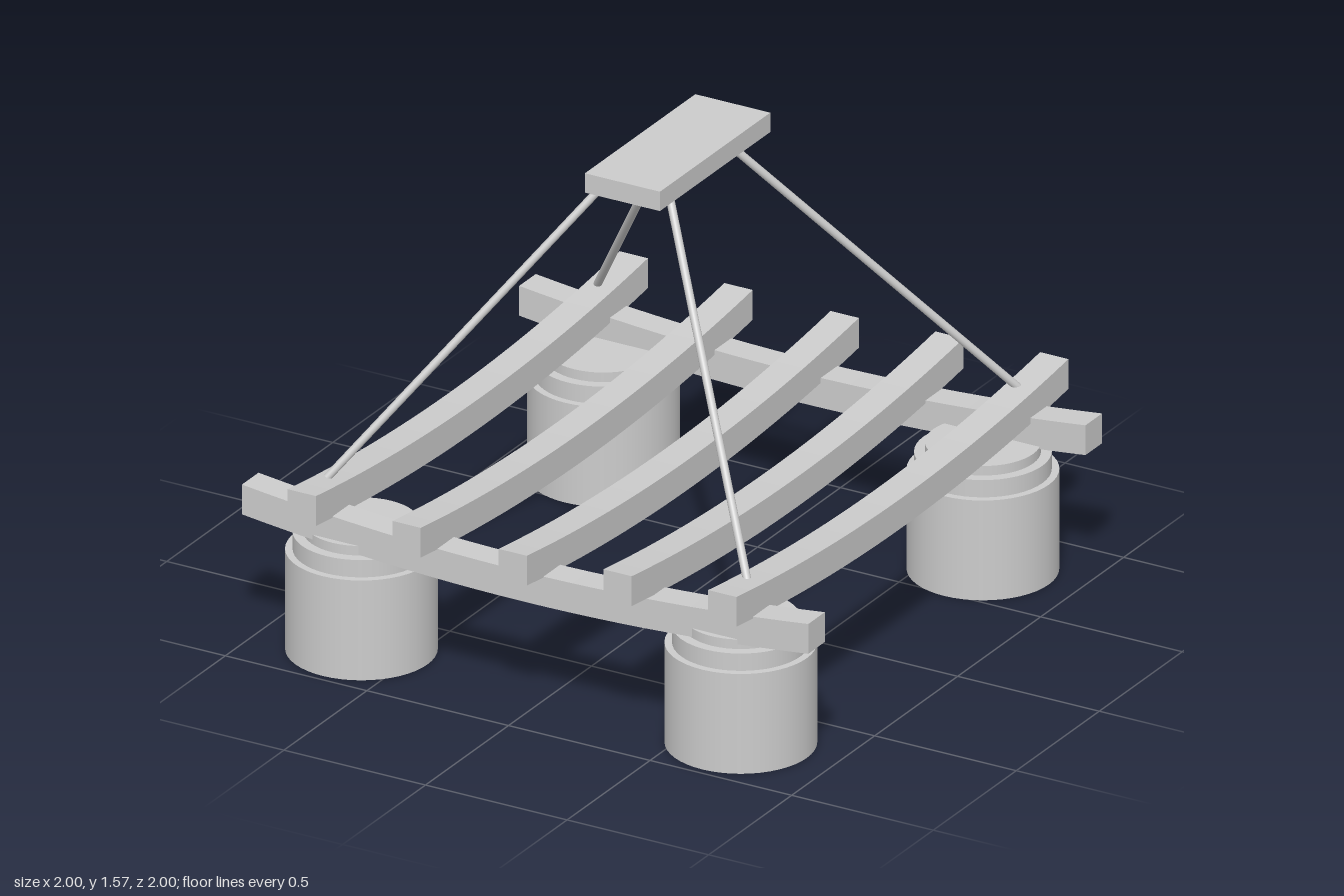
import * as THREE from 'three';

const material = new THREE.MeshStandardMaterial({ color: 0xcccccc });

function addMesh(parent, name, geometry, x = 0, y = 0, z = 0) {
  const mesh = new THREE.Mesh(geometry, material);
  mesh.name = name;
  mesh.position.set(x, y, z);
  parent.add(mesh);
  return mesh;
}

// Square beam along x, 2 long, sagging in the middle; y = 0 is the underside at mid-span
function saggingBeam(sag, size = 0.1, steps = 24) {
  const lower = [], upper = [];
  for (let i = 0; i <= steps; i++) {
    const x = -1 + (2 * i) / steps;
    lower.push(new THREE.Vector2(x, sag * x * x));
    upper.unshift(new THREE.Vector2(x, sag * x * x + size));
  }
  const geometry = new THREE.ExtrudeGeometry(new THREE.Shape([...lower, ...upper]), {
    depth: size, bevelEnabled: false,
  });
  return geometry.translate(0, 0, -size / 2);
}

// Thin round rod between two points
function addRod(parent, name, from, to, radius) {
  const direction = to.clone().sub(from);
  const rod = addMesh(parent, name, new THREE.CylinderGeometry(radius, radius, direction.length(), 12));
  rod.position.copy(from).add(to).multiplyScalar(0.5);
  rod.quaternion.setFromUnitVectors(new THREE.Vector3(0, 1, 0), direction.normalize());
}

export function createModel() {
  const model = new THREE.Group();
  model.name = 'hangingRaft';

  // Stepped drums at the four corners: [radius, bottom, top]
  const tiers = [[0.233, 0, 0.335], [0.21, 0.335, 0.393], [0.177, 0.393, 0.425]];
  for (const x of [-0.67, 0.67]) {
    for (const z of [0.743, -0.715]) {
      const drum = new THREE.Group();
      drum.name = 'drum';
      drum.position.set(x, 0, z);
      tiers.forEach(([r, y0, y1], i) =>
        addMesh(drum, ['drumBody', 'drumShoulder', 'drumLid'][i],
          new THREE.CylinderGeometry(r, r, y1 - y0, 48), 0, (y0 + y1) / 2, 0));
      model.add(drum);
    }
  }

  // Two cross beams resting on the drums
  for (const z of [0.85, -0.82]) addMesh(model, 'crossBeam', saggingBeam(0.06), 0, 0.375, z);

  // Five long beams, the outer ones riding higher: [x, underside at mid-span]
  const longBeams = [[-0.73, 0.446], [-0.36, 0.426], [0.015, 0.42], [0.385, 0.438], [0.755, 0.455]];
  for (const [x, y] of longBeams) {
    addMesh(model, 'longBeam', saggingBeam(0.065).rotateY(Math.PI / 2), x, y, 0);
  }

  // Top plate carried by four slanted rods
  addMesh(model, 'topPlate', new THREE.BoxGeometry(0.265, 0.065, 0.665), 0.018, 1.533, 0.012);
  for (const side of [-1, 1]) {
    for (const end of [-1, 1]) {
      addRod(model, 'rod',
        new THREE.Vector3(side * 0.742, 0.59, 0.012 + end * 0.815),
        new THREE.Vector3(side * 0.093 - 0.005, 1.51, 0.012 + end * 0.18), 0.013);
    }
  }

  return model;
}
